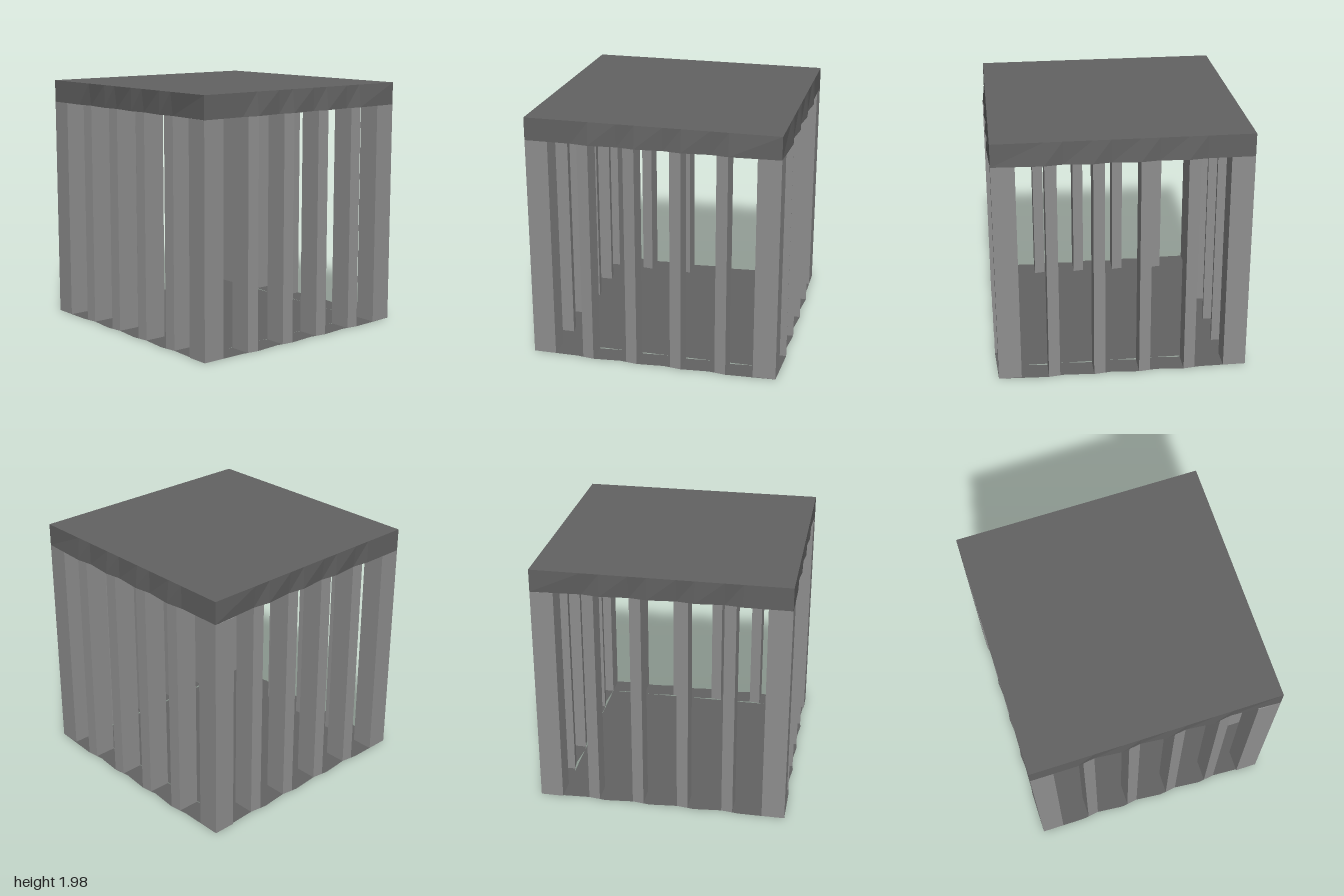
import * as THREE from 'three';

const H = 1.98, LINTEL = 1.8, POST = 0.18, BAR = 0.09;
const BARS = [-0.585, -0.225, 0.135, 0.495];
const LO = -1, HI = 0.98;

const grey = (color) => new THREE.MeshStandardMaterial({ color, flatShading: true, side: THREE.DoubleSide });
const darkGrey = grey(0x636363);
const midGrey = grey(0x8f8f8f);

// A point on one wall: t runs along the wall, off is its sideways shift, inset its depth inwards.
// Returned as shape coordinates (x, -z).
const WALLS = {
  back: (t, off, inset) => new THREE.Vector2(t, HI + off - inset),
  right: (t, off, inset) => new THREE.Vector2(HI + off - inset, t),
  front: (t, off, inset) => new THREE.Vector2(t, LO + off + inset),
  left: (t, off, inset) => new THREE.Vector2(LO + off + inset, t),
};

// Gently scalloped line along a wall, bulging at each bar
function wallLine(wall, inset) {
  const pts = [[LO + inset, 0]];
  for (const b of BARS) pts.push([b - 0.05, 0], [b + BAR, 0.02]);
  pts.push([HI - inset, 0]);
  return pts.map(([t, off]) => WALLS[wall](t, off, inset));
}

// Closed loop round all four walls
function outline(inset) {
  return [
    ...wallLine('left', inset).slice(0, -1),
    ...wallLine('back', inset).slice(0, -1),
    ...wallLine('right', inset).reverse().slice(0, -1),
    ...wallLine('front', inset).reverse().slice(0, -1),
  ];
}

function add(group, geometry, material, name, y = 0) {
  const mesh = new THREE.Mesh(geometry, material);
  mesh.name = name;
  mesh.position.y = y;
  group.add(mesh);
}

// Flat horizontal sheet
const sheet = (shape) => new THREE.ShapeGeometry(shape).rotateX(-Math.PI / 2);

// Four corners of an upright rectangle in shape coordinates
const rect = (x0, y0, x1, y1) => [
  new THREE.Vector2(x0, y0), new THREE.Vector2(x1, y0),
  new THREE.Vector2(x1, y1), new THREE.Vector2(x0, y1),
];

// Upright column with the given footprint
const column = (pts) => new THREE.ExtrudeGeometry(new THREE.Shape(pts),
  { depth: LINTEL, bevelEnabled: false }).rotateX(-Math.PI / 2);

// Band of quads joining a lower loop to an upper loop
function band(lower, upper) {
  const pos = [], index = [], n = lower.length;
  for (let i = 0; i < n; i++) {
    pos.push(lower[i].x, LINTEL, -lower[i].y, upper[i].x, H, -upper[i].y);
    const a = 2 * i, b = 2 * ((i + 1) % n);
    index.push(a, a + 1, b, b, a + 1, b + 1);
  }
  const g = new THREE.BufferGeometry();
  g.setAttribute('position', new THREE.Float32BufferAttribute(pos, 3));
  g.setIndex(index);
  g.computeVertexNormals();
  return g;
}

export function createModel() {
  const model = new THREE.Group();
  model.name = 'slattedCage';
  const outer = outline(0), inner = outline(POST);
  const rim = new THREE.Shape(outer);
  rim.holes.push(new THREE.Path(inner));

  // Floor: scalloped rim with a straight-edged panel inside it
  add(model, sheet(rim), darkGrey, 'floorRim');
  const panel = new THREE.Shape(rect(LO + POST, LO + POST, HI - POST, HI - POST));
  add(model, sheet(panel), darkGrey, 'floorPanel');

  // Hollow roof: underside rim, outer skirt, inner skirt and top sheet
  add(model, sheet(rim), darkGrey, 'roofRim', LINTEL);
  const snap = (v) => (v < -0.97 ? LO : Math.min(v, HI));
  const square = outer.map((p) => new THREE.Vector2(snap(p.x), snap(p.y)));
  add(model, band(outer, square), darkGrey, 'roofSkirt');
  add(model, band(inner, inner), darkGrey, 'roofInnerWall');
  add(model, sheet(new THREE.Shape(rect(LO, LO, HI, HI))), darkGrey, 'roofTop', H);

  // Corner posts
  for (const x of [LO, HI - POST]) {
    for (const y of [LO, HI - POST]) {
      add(model, column(rect(x, y, x + POST, y + POST)), midGrey, 'cornerPost');
    }
  }

  // Bars along the four walls
  for (const [wall, at] of Object.entries(WALLS)) {
    for (const b of BARS) {
      add(model, column([
        at(b, 0.007, 0), at(b + BAR, 0.02, 0),
        at(b + BAR, 0.02, POST), at(b, 0.007, POST),
      ]), midGrey, wall + 'Bar');
    }
  }
  return model;
}
